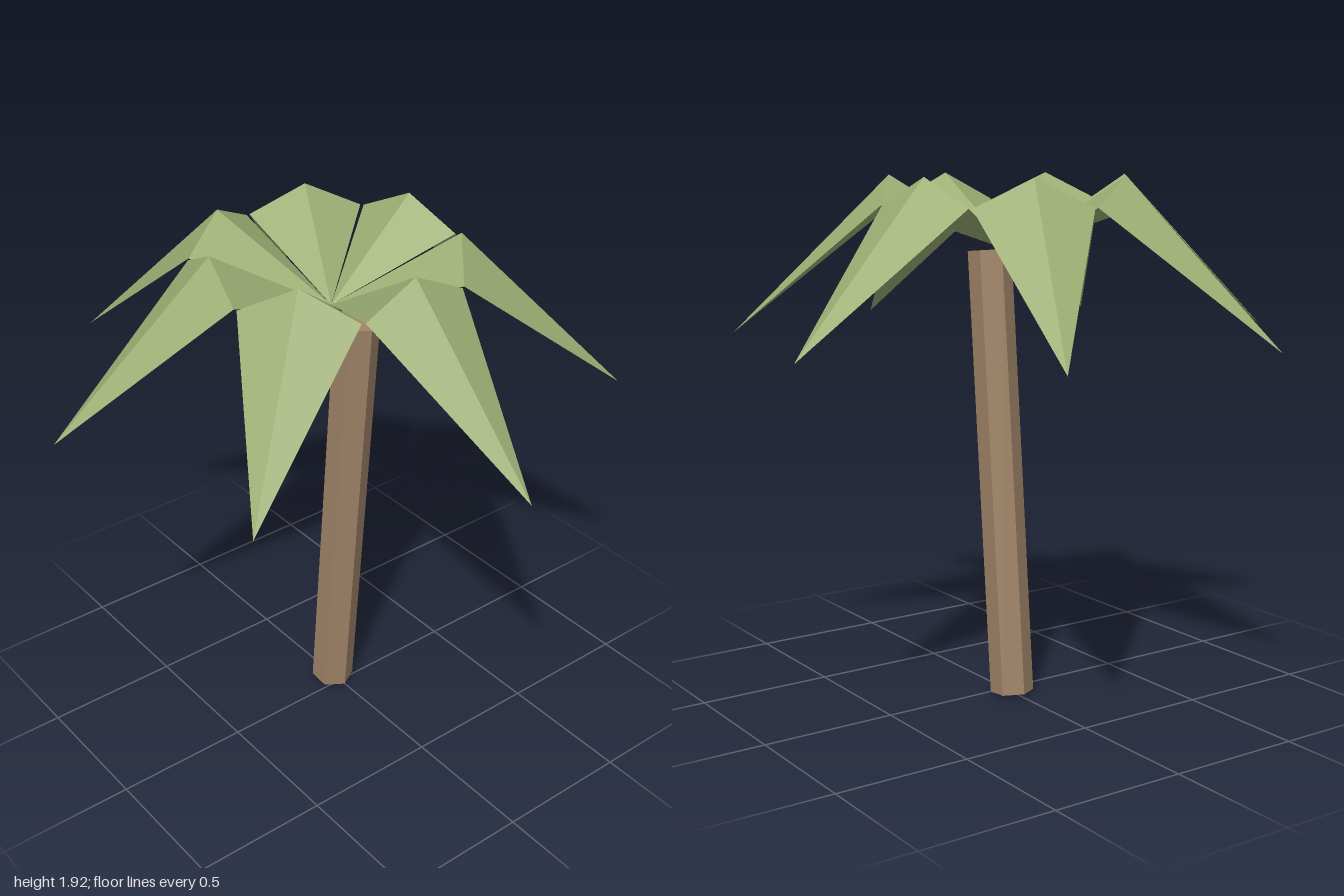
import * as THREE from 'three';

const leafGreen = new THREE.MeshStandardMaterial({ color: 0x9cae73, flatShading: true, side: THREE.DoubleSide });
leafGreen.name = 'leafGreen';
const barkBrown = new THREE.MeshStandardMaterial({ color: 0xa08468, flatShading: true });
barkBrown.name = 'barkBrown';

// One folded frond pointing along +x: root, raised ridge, two shoulders and a drooping tip
function frondGeometry() {
  const root = [0, 1.65, 0], ridge = [0.44, 1.92, 0], tip = [1.02, 1.35, 0];
  const front = [0.44, 1.82, 0.205], back = [0.44, 1.82, -0.205];
  const corners = [
    root, front, ridge, ridge, front, tip,
    root, ridge, back, ridge, tip, back,
  ];
  const geometry = new THREE.BufferGeometry();
  geometry.setAttribute('position', new THREE.Float32BufferAttribute(corners.flat(), 3));
  geometry.computeVertexNormals();
  return geometry;
}

export function createModel() {
  const palm = new THREE.Group();
  palm.name = 'palmTree';

  // Leaning six-sided trunk
  const trunk = new THREE.Mesh(new THREE.CylinderGeometry(0.08, 0.08, 1.645, 6, 1, false, Math.PI / 2), barkBrown);
  trunk.name = 'trunk';
  trunk.position.set(0.0225, 0.828, 0);
  trunk.rotation.z = -0.088;
  palm.add(trunk);

  // Crown of seven fronds
  const crown = new THREE.Group();
  crown.name = 'crown';
  crown.position.x = -0.05;
  const geometry = frondGeometry();
  const count = 7;
  for (let i = 0; i < count; i++) {
    const frond = new THREE.Mesh(geometry, leafGreen);
    frond.name = `frond${i + 1}`;
    frond.rotation.y = (i / count) * Math.PI * 2;
    crown.add(frond);
  }
  palm.add(crown);

  return palm;
}
